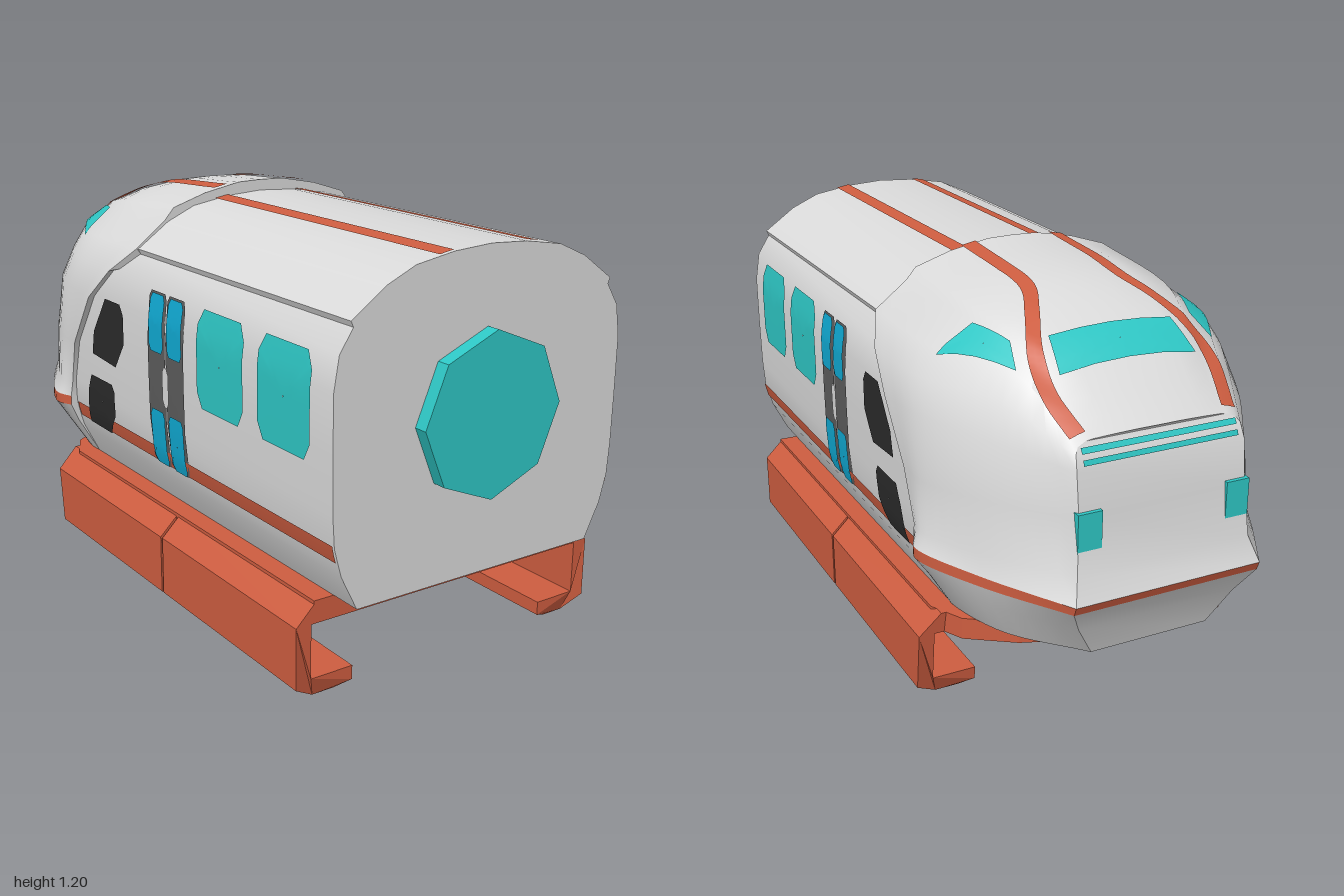
import * as THREE from 'three';
import { toCreasedNormals } from 'three/addons/utils/BufferGeometryUtils.js';

const paint = (name, color) => new THREE.MeshStandardMaterial({ name, color, side: THREE.DoubleSide });
const V = (x, y, z) => new THREE.Vector3(x, y, z);
const mirror = (p) => V(-p.x, p.y, p.z);

// Surface through a list of equally long rows of points
function gridGeometry(rows, crease = 0.5) {
  const n = rows[0].length, index = [];
  for (let i = 0; i < rows.length - 1; i++) {
    for (let j = 0; j < n - 1; j++) {
      const a = i * n + j, b = a + n;
      index.push(a, b, a + 1, b, b + 1, a + 1);
    }
  }
  const g = new THREE.BufferGeometry().setFromPoints(rows.flat());
  g.setIndex(index);
  g.computeVertexNormals();
  return crease ? toCreasedNormals(g, crease) : g;
}

export function createModel() {
  const model = new THREE.Group();
  model.name = 'monorailCar';
  const white = paint('bodyWhite', 0xdadada);
  const orange = paint('trimOrange', 0xcd5d40);
  const teal = paint('windowTeal', 0x2ec6c4);
  const blue = paint('doorBlue', 0x10a9d2);
  const grey = paint('doorGrey', 0x5c5c5c);
  const black = paint('ventBlack', 0x2b2b2b);

  const add = (name, geometry, material, parent = model) => {
    const mesh = new THREE.Mesh(geometry, material);
    mesh.name = name;
    parent.add(mesh);
    return mesh;
  };

  // Passenger body: half section x, y and the z where it slips under the cab
  const half = [
    [0.4, 0.28, -0.5], [0.45, 0.38, -0.5], [0.472, 0.46, -0.5], [0.478, 0.55, -0.49],
    [0.48, 0.7, -0.44], [0.48, 0.86, -0.33], [0.465, 0.95, -0.22], [0.425, 1.012, -0.13],
    [0.432, 1.028, -0.12], [0.33, 1.1, -0.12], [0.24, 1.14, -0.12], [0.12, 1.16, -0.12], [0, 1.167, -0.12],
  ];
  const loop = [...half, ...half.slice(0, -1).reverse().map(([x, y, z]) => [-x, y, z]), half[0]];
  const body = add('body', gridGeometry([
    loop.map(([x, y]) => V(x, y, 0.96)), loop.map(([x, y, z]) => V(x, y, z)),
  ]), white);
  const endShape = new THREE.Shape(loop.slice(0, -1).map(([x, y]) => new THREE.Vector2(x, y)));
  add('endWall', new THREE.ShapeGeometry(endShape).translate(0, 0, 0.96), white);
  add('endHatch', new THREE.CylinderGeometry(0.228, 0.228, 0.05, 8).toNonIndexed()
    .rotateX(Math.PI / 2).translate(0, 0.727, 0.975), teal).geometry.computeVertexNormals();

  // Cab shell: lengthwise curves from its rear rim to the nose
  const curve = (p) => new THREE.CatmullRomCurve3(p.map((q) => V(...q))).getPoints(16);
  const low = [
    [[0.4, 0.28, -0.47], [0.4, 0.28, -0.53], [0.34, 0.28, -0.72], [0.18, 0.28, -0.91]],
    [[0.47, 0.4, -0.475], [0.475, 0.4, -0.55], [0.4, 0.39, -0.74], [0.24, 0.38, -0.945]],
    [[0.495, 0.455, -0.47], [0.515, 0.455, -0.53], [0.425, 0.455, -0.75], [0.28, 0.455, -0.99]],
  ].map(curve);
  const side = [
    [[0.495, 0.485, -0.47], [0.515, 0.487, -0.53], [0.425, 0.485, -0.75], [0.28, 0.48, -1]],
    [[0.49, 0.53, -0.465], [0.495, 0.53, -0.53], [0.41, 0.54, -0.74], [0.26, 0.55, -0.967]],
    [[0.497, 0.68, -0.42], [0.492, 0.68, -0.53], [0.4, 0.69, -0.74], [0.25, 0.7, -0.95]],
    [[0.5, 0.85, -0.3], [0.485, 0.86, -0.5], [0.385, 0.85, -0.72], [0.25, 0.82, -0.935]],
    [[0.482, 0.95, -0.19], [0.46, 0.95, -0.47], [0.35, 0.94, -0.7], [0.245, 0.86, -0.92]],
  ].map(curve);
  const roof = [
    [[0.437, 1.03, -0.09], [0.41, 1.02, -0.47], [0.3, 1.01, -0.7], [0.235, 0.875, -0.91]],
    [[0.34, 1.105, -0.09], [0.315, 1.09, -0.47], [0.26, 1.06, -0.64], [0.21, 0.885, -0.905]],
    [[0.31, 1.14, -0.09], [0.295, 1.11, -0.47], [0.24, 1.07, -0.65], [0.19, 0.888, -0.906]],
    [[0.2, 1.175, -0.09], [0.19, 1.145, -0.47], [0.16, 1.075, -0.67], [0.13, 0.892, -0.91]],
    [[0.08, 1.198, -0.09], [0.08, 1.16, -0.47], [0.07, 1.075, -0.68], [0.06, 0.895, -0.914]],
    [[0, 1.2, -0.09], [0, 1.162, -0.47], [0, 1.077, -0.68], [0, 0.895, -0.915]],
  ].map(curve);
  const flip = (row) => row.map(mirror);
  const upper = [...side, ...roof], all = [...low, ...upper];
  const across = (rows) => gridGeometry(rows.map((r) => [r[16], mirror(r[16])]));
  const upperAcross = [...upper, ...upper.slice(0, -1).reverse().map(flip)];
  const cab = add('cabShell', gridGeometry(upperAcross, 0.6), white);
  const belly = add('cabBelly', gridGeometry([...low.slice().reverse(), ...low.map(flip)]), white);
  const nose = add('noseFront', across(upper), white);
  add('noseChin', across(low), white);
  const band = [low[2], side[0]];
  add('waistBandLeft', gridGeometry(band), orange);
  add('waistBandRight', gridGeometry(band.map(flip)), orange);
  add('waistBandNose', across(band), orange);

  // Step at the rear rim of the cab
  const rim = all.map((r) => r[0]);
  const rimLoop = [...rim, ...rim.slice(0, -1).reverse().map(mirror)];
  add('cabRim', gridGeometry([rimLoop,
    rimLoop.map((p) => V(p.x * 0.92, p.y - (p.y > 1 ? 0.05 : 0), p.z))]), white);

  // Thin painted plates laid on the skin along a direction
  const skin = [body, cab, belly, nose];
  const caster = new THREE.Raycaster();
  function project(p, dir, lift) {
    caster.set(p.clone().addScaledVector(dir, 4), dir.clone().negate());
    const hit = caster.intersectObjects(skin, false)[0];
    return (hit ? hit.point : p.clone()).addScaledVector(dir, lift);
  }
  const SIDE = V(1, 0, 0), TOP = V(0, 1, 0), NOSE = V(0, 0, -1);
  const lifted = (dir, a, b) => (dir === SIDE ? V(0, b, a) : dir === TOP ? V(a, 0, b) : V(a, b, 0));
  function plate(name, material, dir, rows2d, lift, both) {
    const rows = rows2d.map((r) => r.map(([a, b]) => project(lifted(dir, a, b), dir, lift)));
    add(name, gridGeometry(rows), material);
    if (both) add(name + 'Mirrored', gridGeometry(rows.map(flip)), material);
  }
  // Convex polygon as shrinking outlines
  function polygon(name, material, dir, pts, lift = 0.005, both = true) {
    const cx = pts.reduce((s, p) => s + p[0], 0) / pts.length;
    const cy = pts.reduce((s, p) => s + p[1], 0) / pts.length;
    const edge = [];
    pts.forEach((p, i) => {
      const q = pts[(i + 1) % pts.length];
      for (let k = 0; k < 4; k++) edge.push([p[0] + (q[0] - p[0]) * k / 4, p[1] + (q[1] - p[1]) * k / 4]);
    });
    edge.push(pts[0]);
    const rows = [1, 0.66, 0.33, 0.01].map((s) => edge.map(([a, b]) => [cx + (a - cx) * s, cy + (b - cy) * s]));
    plate(name, material, dir, rows, lift, both);
  }
  const rect = (a0, a1, b0, b1, c = 0) => [
    [a0 + c, b0], [a1 - c, b0], [a1, b0 + c * 1.8], [a1, b1 - c * 1.8],
    [a1 - c, b1], [a0 + c, b1], [a0, b1 - c * 1.8], [a0, b0 + c * 1.8],
  ];

  // Waist and roof stripes
  const steps = Array.from({ length: 41 }, (_, i) => i / 40);
  plate('waistStripe', orange, SIDE, [0.42, 0.445, 0.468].map((y) => steps.map((t) => [0.957 - t * 1.415, y])), 0.004, true);
  const ribbon = (path) => [-0.022, 0, 0.022].map((w) => path.map(([x, z]) => [x + w, z]));
  plate('roofStripe', orange, TOP, ribbon(steps.map((t) => [0.143, 0.957 - t * 1.045])), 0.004, true);
  const swerve = new THREE.CatmullRomCurve3([V(0.143, 0, -0.092), V(0.143, 0, -0.3), V(0.145, 0, -0.47),
    V(0.185, 0, -0.57), V(0.238, 0, -0.69), V(0.25, 0, -0.78), V(0.225, 0, -0.89)]);
  plate('cabStripe', orange, TOP, ribbon(swerve.getPoints(40).map((p) => [p.x, p.z])), 0.006, true);

  // Side windows and vents
  polygon('rearWindow', teal, SIDE, rect(0.635, 0.87, 0.66, 0.94, 0.025));
  polygon('middleWindow', teal, SIDE, rect(0.33, 0.565, 0.66, 0.94, 0.025));
  polygon('upperVent', black, SIDE, [[-0.1, 0.83], [-0.12, 0.86], [-0.215, 0.86], [-0.3, 0.74],
    [-0.315, 0.665], [-0.16, 0.655], [-0.1, 0.74]], 0.006);
  polygon('lowerVent', black, SIDE, [[-0.175, 0.57], [-0.19, 0.592], [-0.33, 0.592], [-0.355, 0.54],
    [-0.38, 0.42], [-0.235, 0.418], [-0.18, 0.49]], 0.007);

  // Double doors with glass above and below
  for (const [i, z] of [0.065, 0.17].entries()) {
    const w = z + 0.082;
    polygon('doorPanel' + i, grey, SIDE, rect(z - 0.012, w + 0.006, 0.42, 0.94, 0.01), 0.006);
    polygon('doorGlassTop' + i, blue, SIDE, rect(z, w, 0.765, 0.935, 0.01), 0.009);
    polygon('doorGlassBottom' + i, blue, SIDE, rect(z, w, 0.42, 0.59, 0.01), 0.009);
  }
  polygon('doorHandle', white, SIDE, rect(0.14, 0.175, 0.61, 0.73, 0.01), 0.0095);

  // Cab windows, nose bands and lamps
  polygon('windshield', teal, TOP, [[-0.205, -0.76], [0.205, -0.76], [0.185, -0.66], [-0.185, -0.66]], 0.007, false);
  polygon('cabSideWindow', teal, TOP, [[0.298, -0.7], [0.275, -0.62], [0.32, -0.49], [0.42, -0.475]], 0.007);
  for (const y of [0.832, 0.86]) {
    plate('noseBand', teal, NOSE, [y, y + 0.014].map((b) => steps.map((t) => [(t - 0.5) * 0.46, b])), 0.005, false);
  }
  for (const s of [1, -1]) {
    add('noseLamp', new THREE.BoxGeometry(0.07, 0.12, 0.05).translate(s * 0.222, 0.655, -0.935), teal);
  }

  // Undercarriage deck
  const plan = [[0.46, 0.86], [0.46, -0.5], [0.41, -0.6], [0.28, -0.69], [0.15, -0.74]];
  const deckShape = new THREE.Shape([...plan, ...plan.slice().reverse().map(([x, z]) => [-x, z])]
    .map((p) => new THREE.Vector2(...p)));
  add('deck', new THREE.ExtrudeGeometry(deckShape, { depth: 0.064, bevelEnabled: false })
    .rotateX(Math.PI / 2).translate(0, 0.279, 0), orange);

  // Hooked rail skirts, two per side, with tapered ends
  const hook = new THREE.Shape([[0.4, 0.279], [0.45, 0.279], [0.515, 0.215], [0.515, 0.04], [0.45, 0], [0.38, 0],
    [0.335, 0.02], [0.335, 0.06], [0.468, 0.06], [0.468, 0.215], [0.4, 0.215]].map((p) => new THREE.Vector2(...p)));
  for (const [z0, z1, slope] of [[0.165, 0.86, 0], [-0.55, 0.155, 0.12]]) {
    const g = new THREE.ExtrudeGeometry(hook, { depth: z1 - z0, bevelEnabled: false }).translate(0, 0, z0);
    const p = g.attributes.position;
    for (let i = 0; i < p.count; i++) {
      const y = p.getY(i), tuck = y < 0.01 ? 0.02 : 0;
      const front = p.getZ(i) < (z0 + z1) / 2;
      p.setZ(i, p.getZ(i) + (front ? tuck + slope * (0.28 - y) : -tuck));
    }
    g.computeVertexNormals();
    add('railSkirtLeft', g, orange);
    add('railSkirtRight', g, orange).scale.x = -1;
  }
  return model;
}
